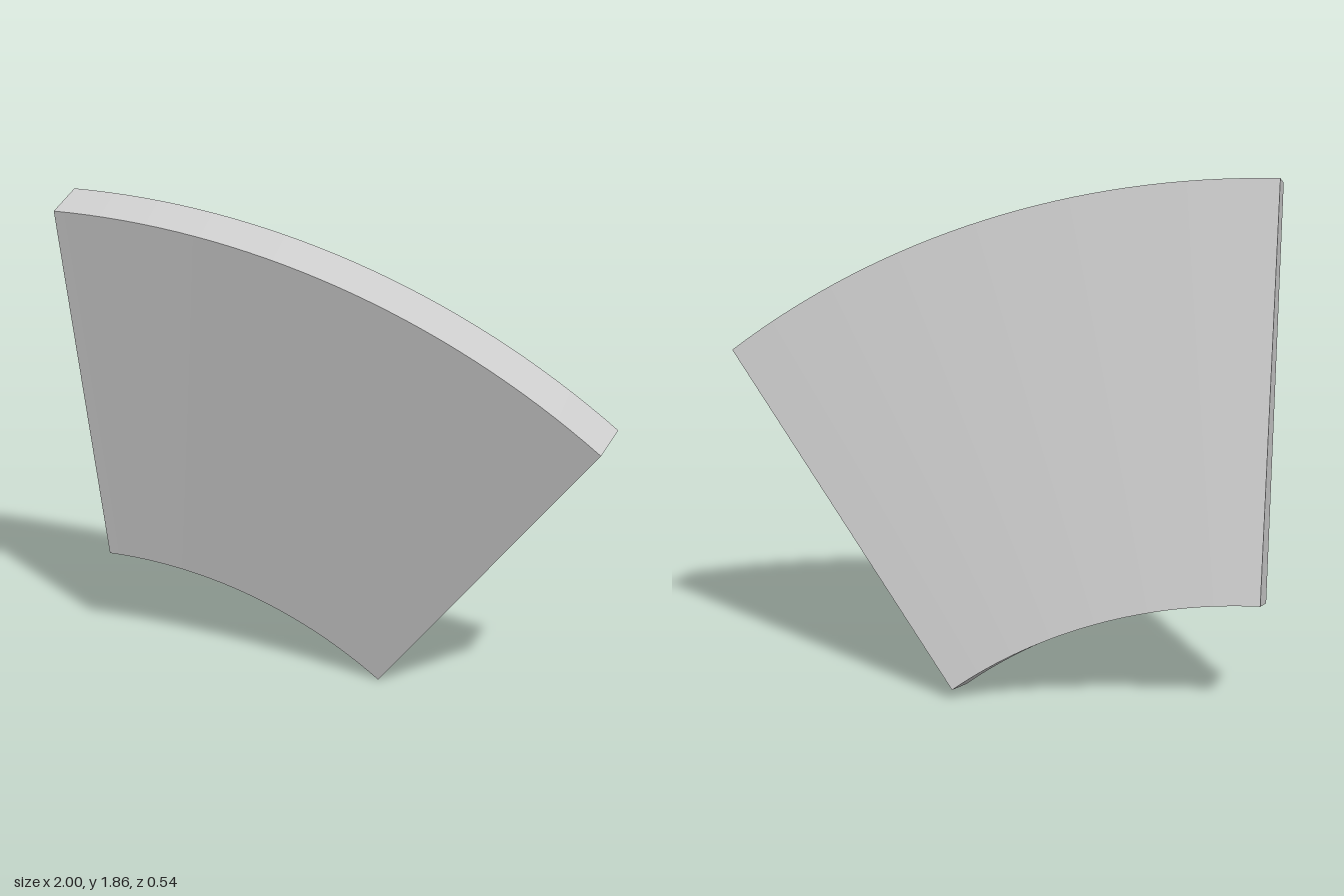
import * as THREE from 'three';
import { toCreasedNormals } from 'three/addons/utils/BufferGeometryUtils.js';

const AXIS = { x: -1, y: -1.405 };
const STEPS = 32;

// Corners of the slanted section: radius, start/end angle from vertical, start/end z
const SECTION = [
  { r: 3.235, a: [0, 0.658], z: [0.257, 0.268] },      // outer front
  { r: 3.273, a: [0.001, 0.657], z: [0.085, 0.094] },  // outer back
  { r: 1.822, a: [0.007, 0.654], z: [-0.272, -0.266] }, // inner back
  { r: 1.78, a: [0.001, 0.658], z: [-0.096, -0.09] },  // inner front
];

// Sweep the section around the axis as a conical ring segment
function coneSegment() {
  const positions = [];
  const index = [];
  for (let i = 0; i <= STEPS; i++) {
    for (const { r, a, z } of SECTION) {
      const t = THREE.MathUtils.lerp(a[0], a[1], i / STEPS);
      positions.push(
        AXIS.x + r * Math.sin(t),
        AXIS.y + r * Math.cos(t),
        THREE.MathUtils.lerp(z[0], z[1], i / STEPS)
      );
    }
  }
  for (let i = 0; i < STEPS; i++) {
    for (let j = 0; j < 4; j++) {
      const a = i * 4 + j;
      const b = i * 4 + ((j + 1) % 4);
      index.push(a, a + 4, b, a + 4, b + 4, b);
    }
  }
  // End caps
  const e = STEPS * 4;
  index.push(0, 1, 2, 0, 2, 3, e, e + 2, e + 1, e, e + 3, e + 2);

  const geometry = new THREE.BufferGeometry();
  geometry.setAttribute('position', new THREE.Float32BufferAttribute(positions, 3));
  geometry.setIndex(index);
  return toCreasedNormals(geometry, Math.PI / 6);
}

export function createModel() {
  const group = new THREE.Group();
  group.name = 'curvedPanel';
  const panel = new THREE.Mesh(
    coneSegment(),
    new THREE.MeshStandardMaterial({ color: 0xcccccc })
  );
  panel.name = 'conicalRingSegment';
  group.add(panel);
  return group;
}
